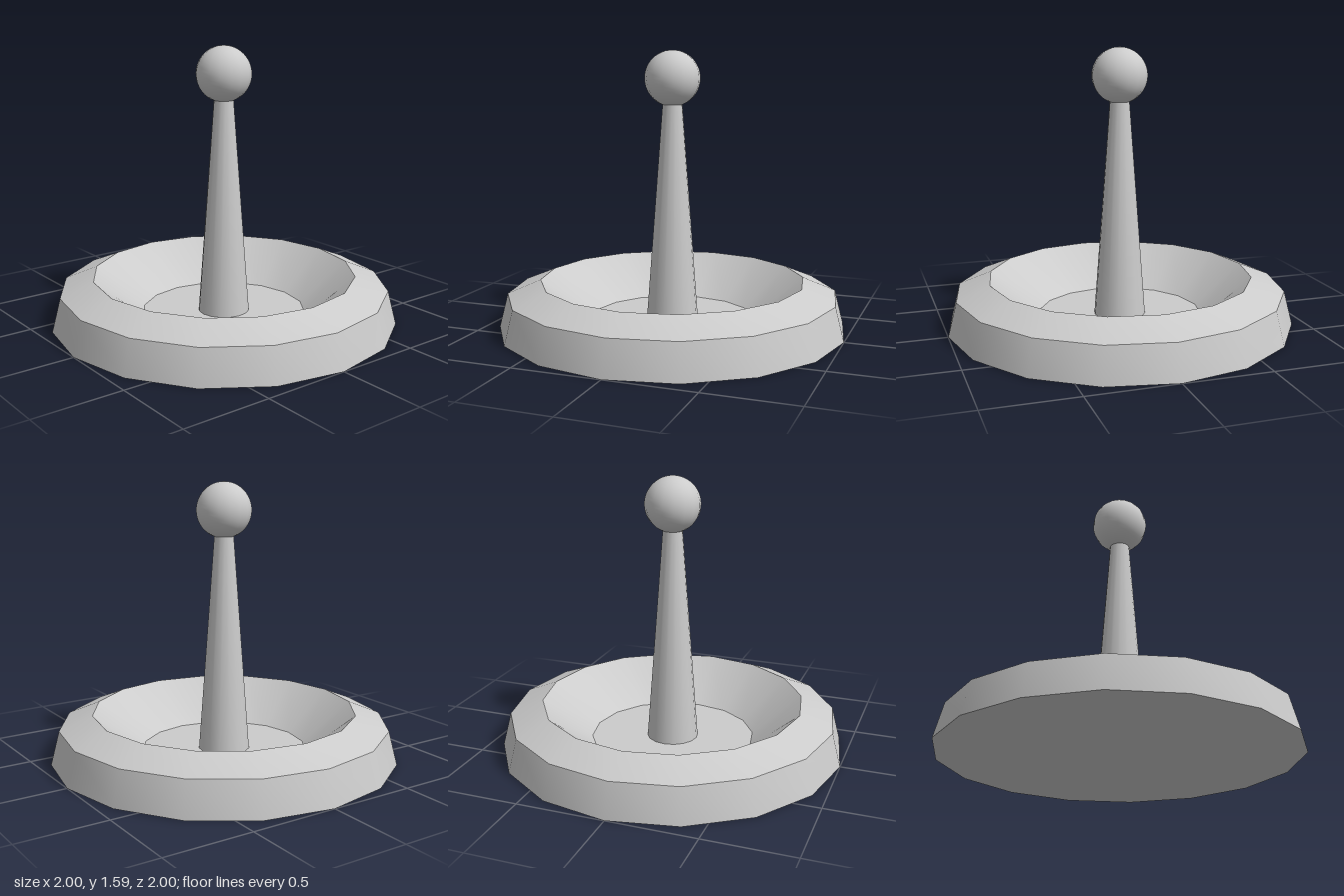
import * as THREE from 'three';
import { toCreasedNormals } from 'three/addons/utils/BufferGeometryUtils.js';

const SIDES = 16;

export function createModel() {
  const model = new THREE.Group();
  const material = new THREE.MeshStandardMaterial({ color: 0xcccccc });

  const add = (name, geometry, y = 0) => {
    const mesh = new THREE.Mesh(geometry, material);
    mesh.name = name;
    mesh.position.y = y;
    model.add(mesh);
  };

  // Dished base: flat underside, sloping side, bevelled rim, sunken floor
  const profile = [
    [0, 0], [1, 0], [0.95, 0.195], [0.76, 0.275], [0.475, 0.045], [0, 0.045],
  ].map(([r, y]) => new THREE.Vector2(r, y));
  add('dishBase', toCreasedNormals(new THREE.LatheGeometry(profile, SIDES), 0.45));

  // Tapered post standing on the floor, its top inside the knob
  const bottom = 0.045, top = 1.36;
  add('post', new THREE.CylinderGeometry(0.05, 0.148, top - bottom, SIDES), (bottom + top) / 2);

  // Round knob
  add('knob', new THREE.SphereGeometry(0.158, SIDES, 24), 1.427);

  return model;
}
